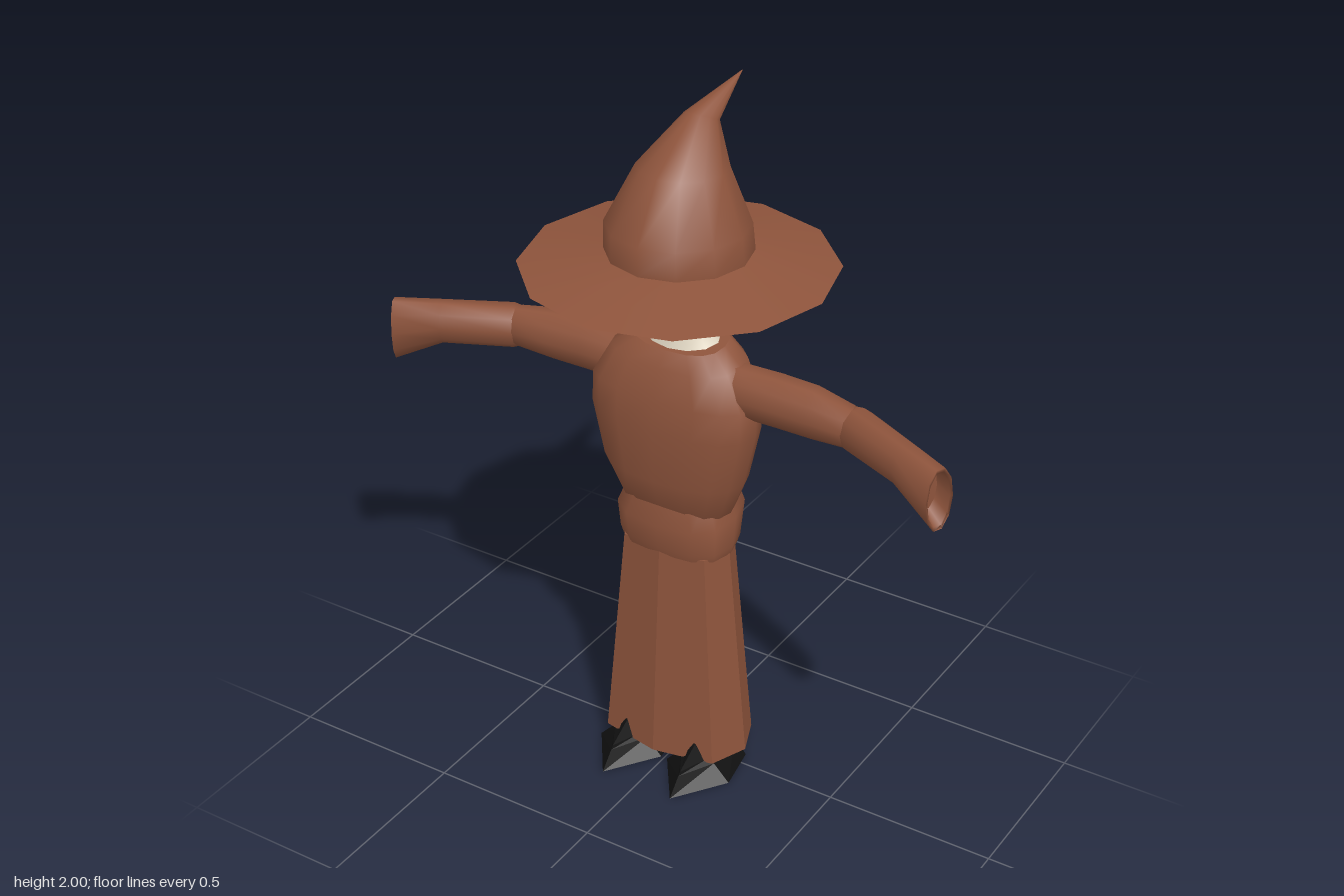
import * as THREE from 'three';

const CX = -0.01; // centre line of the figure
const mat = (color, flatShading = false) =>
  new THREE.MeshStandardMaterial({ color, flatShading, side: THREE.DoubleSide });

// Joins rings of points into a skin; caps get their own corners so the rims stay sharp
function loft(rings, capStart = true, capEnd = true) {
  const n = rings[0].length, pos = [], idx = [];
  const add = (p) => pos.push(p.x, p.y, p.z) / 3 - 1;
  rings.forEach((r) => r.forEach(add));
  for (let k = 0; k < rings.length - 1; k++)
    for (let i = 0; i < n; i++) {
      const a = k * n + i, b = k * n + (i + 1) % n;
      idx.push(a, a + n, b, b, a + n, b + n);
    }
  const cap = (ring, flip) => {
    const mid = new THREE.Vector3();
    ring.forEach((p) => mid.addScaledVector(p, 1 / n));
    const c = add(mid), first = c + 1;
    ring.forEach(add);
    for (let i = 0; i < n; i++) {
      const a = first + i, b = first + (i + 1) % n;
      flip ? idx.push(c, a, b) : idx.push(c, b, a);
    }
  };
  if (capStart) cap(rings[0], true);
  if (capEnd) cap(rings[rings.length - 1], false);
  const g = new THREE.BufferGeometry();
  g.setAttribute('position', new THREE.Float32BufferAttribute(pos, 3));
  g.setIndex(idx);
  g.computeVertexNormals();
  return g;
}

// Level ring: half width, front z, back z; tilt lifts y along z, power squares it off
function ring(y, rx, front, back, tilt = 0, n = 12, power = 1) {
  const cz = (front + back) / 2, rz = (front - back) / 2;
  const sq = (v) => Math.sign(v) * Math.abs(v) ** power;
  return Array.from({ length: n }, (_, i) => {
    const a = (i / n) * Math.PI * 2, dz = rz * sq(Math.sin(a));
    return new THREE.Vector3(CX + rx * sq(Math.cos(a)), y + tilt * dz, cz + dz);
  });
}

// Arm ring standing across the arm, yaw turns it towards the front
function armRing(side, [x, y, z, rz, ry, yaw]) {
  const n = 10;
  return Array.from({ length: n }, (_, i) => {
    const a = (side * i / n) * Math.PI * 2, h = rz * Math.cos(a);
    return new THREE.Vector3(side * (x - h * Math.sin(yaw)), y + ry * Math.sin(a), z + h * Math.cos(yaw));
  });
}

export function createModel() {
  const model = new THREE.Group();
  const cloth = mat(0x8e543c), clothFlat = mat(0x8e543c, true);
  const black = mat(0x101010, true);
  const put = (name, geometry, material, parent = model) => {
    const m = new THREE.Mesh(geometry, material);
    m.name = name;
    parent.add(m);
    return m;
  };

  // Hat: wide brim and a crown bending backwards to a point
  const hat = new THREE.Group();
  hat.name = 'hat';
  model.add(hat);
  put('brim', loft([ring(1.565, 0.43, 0.43, -0.43), ring(1.61, 0.2, 0.2, -0.2)], true, false), cloth, hat);
  put('crown', loft([
    ring(1.61, 0.2, 0.2, -0.2),
    ring(1.69, 0.195, 0.2, -0.19),
    ring(1.84, 0.122, 0.11, -0.145, 0.05),
    ring(1.943, 0.045, -0.06, -0.16, 0.45),
    ring(2.0, 0.001, -0.31, -0.312),
  ], false, false), cloth, hat);

  // Head and neck
  const head = put('head', new THREE.SphereGeometry(0.165, 12, 10), mat(0xcfc5b2, true));
  head.scale.z = 0.83;
  head.position.set(CX, 1.565, 0.002);
  put('neck', loft([
    ring(1.31, 0.14, 0.07, -0.1, -0.2),
    ring(1.345, 0.115, 0.06, -0.1, -0.15),
    ring(1.385, 0.08, 0.045, -0.085),
    ring(1.44, 0.06, 0.045, -0.075),
  ]), mat(0xe0d6c2));

  // Torso, rounded in front and flatter behind
  put('torso', loft([
    ring(0.82, 0.14, 0.07, -0.07, 0, 16, 0.85),
    ring(0.85, 0.17, 0.1, -0.09, 0, 16, 0.85),
    ring(0.96, 0.215, 0.135, -0.103, 0, 16, 0.85),
    ring(1.12, 0.25, 0.14, -0.108, 0, 16, 0.8),
    ring(1.21, 0.248, 0.13, -0.108, 0, 16, 0.75),
    ring(1.31, 0.195, 0.107, -0.105, -0.1, 16, 0.75),
    ring(1.35, 0.135, 0.07, -0.1, -0.15, 16, 0.8),
  ]), cloth);

  // Hips, higher at the back
  put('hips', loft([
    ring(0.71, 0.165, 0.103, -0.113, 0, 12, 0.75),
    ring(0.735, 0.172, 0.11, -0.12, 0, 12, 0.75),
    ring(0.83, 0.178, 0.122, -0.14, -0.15, 12, 0.75),
    ring(0.93, 0.14, 0.1, -0.115, -0.33, 12, 0.8),
  ]), cloth);

  // Eight-panelled skirt
  const skirtRing = (y, s) => [[0.225, 0], [0.18, 0.11], [0, 0.145], [-0.18, 0.11],
    [-0.225, 0], [-0.18, -0.11], [0, -0.155], [0.18, -0.11]]
    .map(([x, z]) => new THREE.Vector3(CX + x * s, y, z * s));
  put('skirt', loft([skirtRing(0.055, 1), skirtRing(0.72, 0.73)]), clothFlat);

  for (const side of [1, -1]) {
    const word = side > 0 ? 'left' : 'right';
    // Sleeves: straight upper arm, forearm angled forward to a flared cuff
    put(word + 'UpperArm', loft([
      [0.13, 1.24, -0.003, 0.065, 0.075, 0],
      [0.3, 1.243, -0.003, 0.065, 0.076, 0],
      [0.41, 1.243, 0, 0.066, 0.074, -0.05],
      [0.53, 1.24, 0.012, 0.053, 0.06, -0.2],
    ].map((r) => armRing(side, r))), cloth);
    put(word + 'Forearm', loft([
      [0.5, 1.24, 0.0, 0.045, 0.05, 0.4],
      [0.545, 1.238, 0.015, 0.056, 0.065, 0.42],
      [0.73, 1.235, 0.098, 0.05, 0.064, 0.42],
      [0.855, 1.205, 0.157, 0.044, 0.094, 0.42],
      [0.853, 1.205, 0.156, 0.036, 0.082, 0.42],
      [0.81, 1.215, 0.137, 0.032, 0.065, 0.42],
    ].map((r) => armRing(side, r))), cloth);

    // Pointed shoe: flat sole with a raised spike over the instep
    const sx = side * 0.115;
    const outline = (y, w, back, mid, tip) => [[w, mid], [0, tip], [-w, mid], [-w * 0.75, back], [w * 0.75, back]]
      .map(([x, z]) => new THREE.Vector3(sx + x, y, z));
    put(word + 'Shoe', loft([
      outline(0, 0.105, -0.04, 0.1, 0.25),
      outline(0.05, 0.055, -0.04, 0.1, 0.205),
      outline(0.06, 0.035, -0.035, 0.1, 0.196),
      outline(0.11, 0.003, 0.11, 0.12, 0.15),
    ]), black);
  }
  return model;
}
